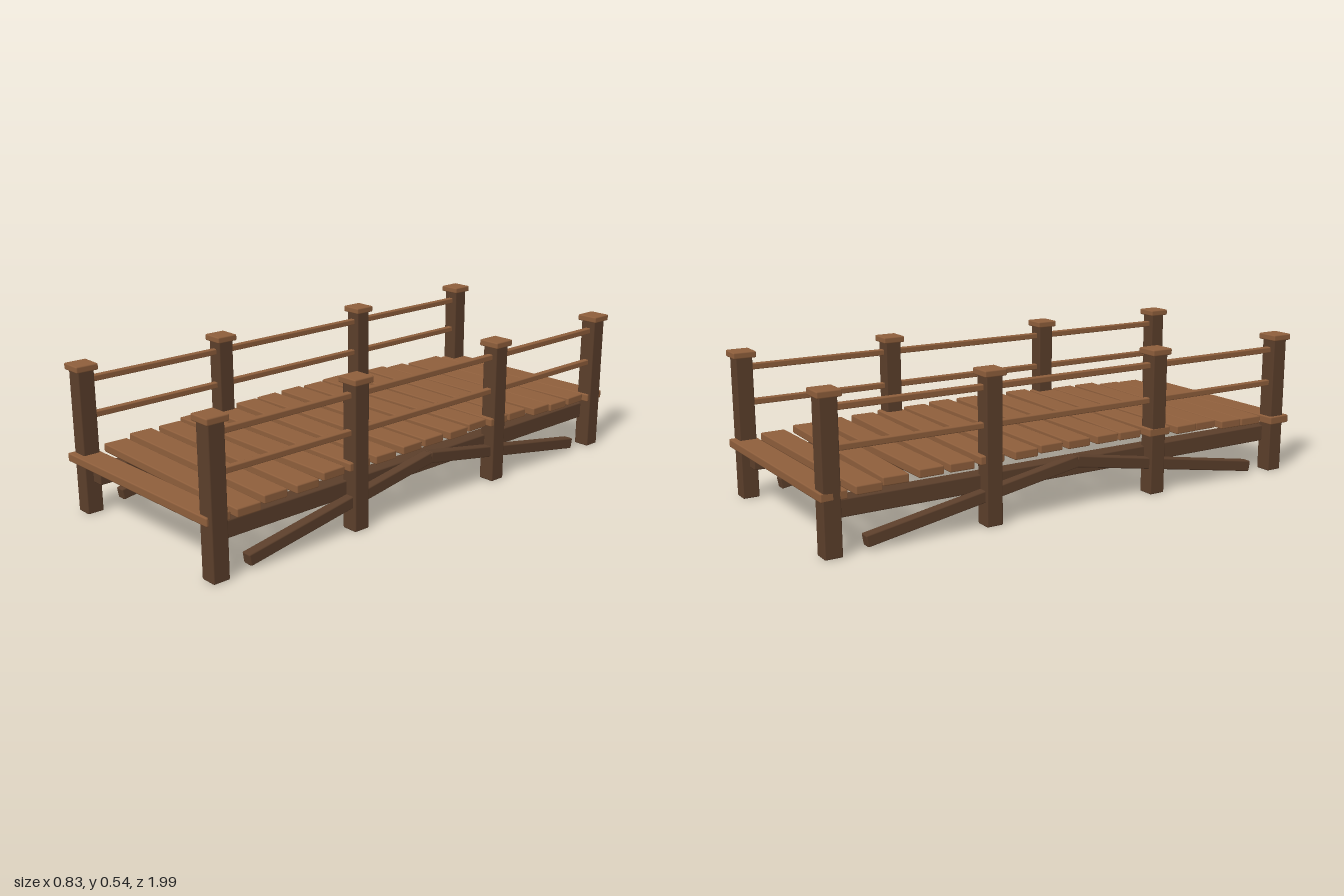
import * as THREE from 'three';
import { RoundedBoxGeometry } from 'three/addons/geometries/RoundedBoxGeometry.js';

export function createModel() {
  const model = new THREE.Group();
  model.name = 'footbridge';

  const darkWood = new THREE.MeshStandardMaterial({ color: 0x5c3f2b });
  darkWood.name = 'dark wood';
  const lightWood = new THREE.MeshStandardMaterial({ color: 0x8f5f3c });
  lightWood.name = 'light wood';

  // Timber with softly bevelled edges
  function timber(name, material, size, position, bevel = 0.005) {
    const mesh = new THREE.Mesh(new RoundedBoxGeometry(...size, 1, bevel), material);
    mesh.name = name;
    mesh.position.set(...position);
    model.add(mesh);
    return mesh;
  }

  // Deck planks: a shallow arch, each laid slightly askew
  const shifts = [-4, -10, 8, 8, -5, 3, -10, 8, 2, 5, 8, -5, -10, 8, -8, 8, -13];
  const skews = [16, 16, -14, 10, -10, -4, 16, 11, 0, 15, -13, 4, 16, -6, -11, -14, 16];
  const span = 0.94;
  shifts.forEach((shift, i) => {
    const t = i / 8 - 1;
    const plank = timber('deckPlank', lightWood, [0.805, 0.031, 0.094],
      [shift / 1000, 0.207 + 0.036 * (1 - t * t), t * span]);
    plank.rotation.y = skews[i] / 800;
  });

  for (const side of [-1, 1]) {
    const x = side * 0.375;

    // Posts with caps
    for (const z of [-0.94, -0.35, 0.35, 0.94]) {
      timber('post', darkWood, [0.063, 0.53, 0.063], [x, 0.267, z]);
      timber('postCap', lightWood, [0.085, 0.024, 0.085], [x, 0.535, z]);
    }

    // Handrails
    for (const y of [0.355, 0.485]) {
      timber('rail', lightWood, [0.024, 0.022, 1.88], [x, y, 0], 0.004);
    }

    // Long beam under the deck
    timber('beam', darkWood, [0.063, 0.062, 1.88], [side * 0.33, 0.148, 0]);

    // Diagonal braces rising to the middle
    for (const end of [-1, 1]) {
      const brace = timber('brace', darkWood, [0.04, 0.042, 0.835], [x, 0.104, end * 0.409]);
      brace.rotation.x = end * Math.atan2(0.142, 0.82);
    }
  }

  return model;
}
